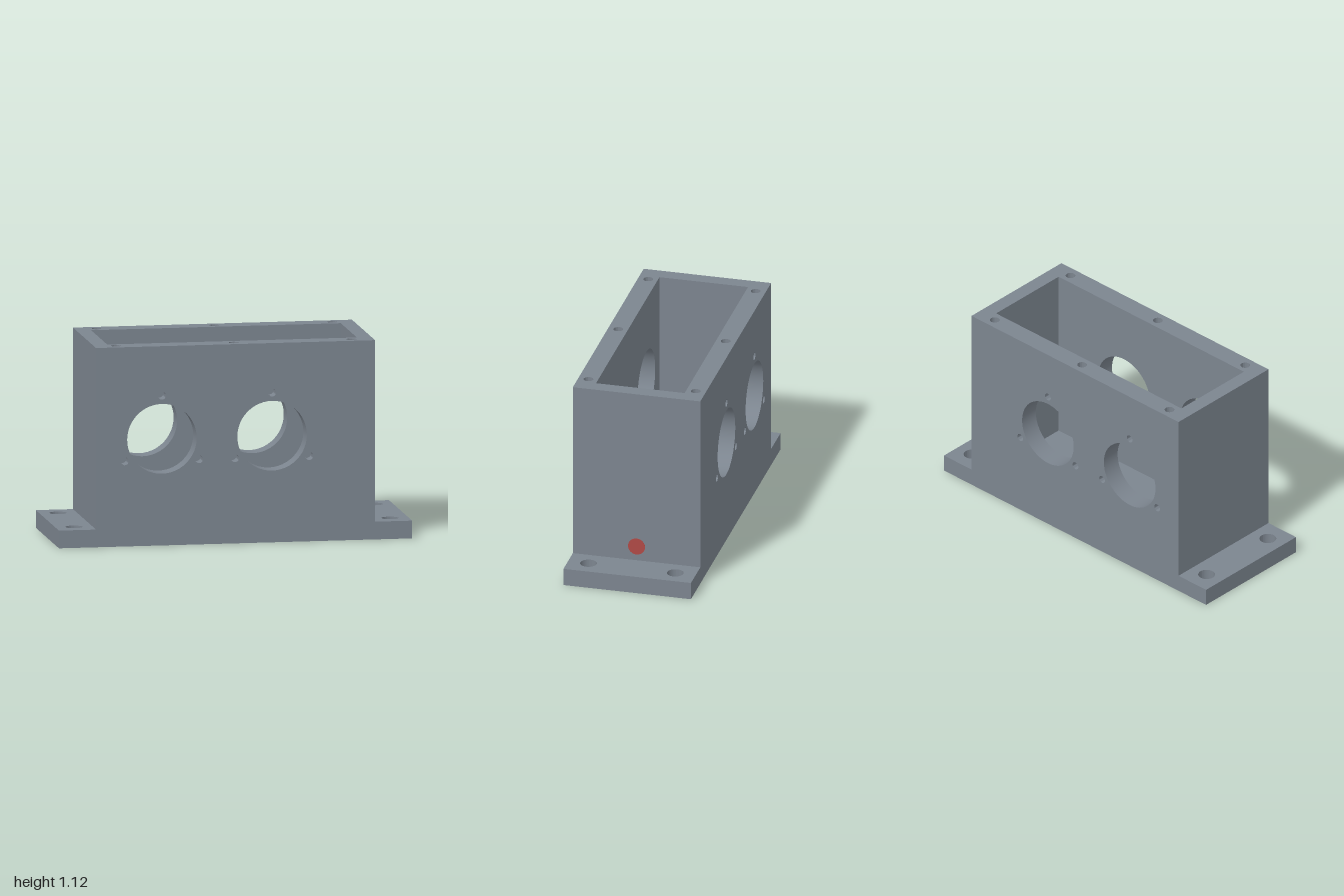
import * as THREE from 'three';
import { toCreasedNormals } from 'three/addons/utils/BufferGeometryUtils.js';

const L = 1, W = 0.79, D = 0.367;      // half sizes: flange length, housing width, depth
const H = 1.125, F = 0.1;              // housing height, flange and floor thickness
const CX = 0.707, CZ = 0.255;          // cavity half sizes
const HALF = Math.PI / 2;

export function createModel() {
  const model = new THREE.Group();
  const metal = new THREE.MeshStandardMaterial({ color: 0x7c858f });
  metal.name = 'slate grey metal';
  const red = new THREE.MeshStandardMaterial({ color: 0xb04a46 });
  red.name = 'red';

  const add = (name, geometry, material = metal) => {
    const mesh = new THREE.Mesh(geometry, material);
    mesh.name = name;
    model.add(mesh);
    return mesh;
  };

  const rect = (x0, x1, y0, y1) =>
    [[x0, y0], [x1, y0], [x1, y1], [x0, y1]].map(([x, y]) => new THREE.Vector2(x, y));

  // Flat face with round holes [x, y, r] and optional rectangular openings
  const face = (name, outline, rotation, position, holes = [], openings = []) => {
    const shape = new THREE.Shape(outline);
    for (const [x, y, r] of holes) shape.holes.push(new THREE.Path().absarc(x, y, r, 0, Math.PI * 2, true));
    for (const o of openings) shape.holes.push(new THREE.Path(o));
    const mesh = add(name, new THREE.ShapeGeometry(shape, 24));
    mesh.rotation.set(...rotation);
    mesh.position.set(...position);
  };

  // Inward-facing drilled wall going down its local y, with a floor if blind
  const bore = (name, r, depth, blind, position, rx = 0) => {
    const pts = [new THREE.Vector2(r, 0), new THREE.Vector2(r, -depth)];
    if (blind) pts.push(new THREE.Vector2(0, -depth));
    const mesh = add(name, toCreasedNormals(new THREE.LatheGeometry(pts, 48), 0.6));
    mesh.position.set(...position);
    mesh.rotation.x = rx;
  };

  // Port openings with three fixing holes around each
  const ports = [-0.417, 0.207].map(x => [x, 0.602, 0.197]);
  const fixings = ports.flatMap(([x, y]) => [90, 210, 330].map(a => {
    const t = THREE.MathUtils.degToRad(a);
    return [x + 0.243 * Math.cos(t), y + 0.243 * Math.sin(t), 0.022];
  }));
  const mirror = list => list.map(([x, y, r]) => [-x, y, r]);

  // Front and back: stepped outer faces and inner cavity faces
  const step = [[-L, 0], [L, 0], [L, F], [W, F], [W, H], [-W, H], [-W, F], [-L, F]]
    .map(([x, y]) => new THREE.Vector2(x, y));
  const inner = rect(-CX, CX, F, H);
  const outerHoles = [...ports, ...fixings];
  face('frontFace', step, [0, 0, 0], [0, 0, D], outerHoles);
  face('backFace', step, [0, Math.PI, 0], [0, 0, -D], mirror(outerHoles));
  face('cavityFront', inner, [0, Math.PI, 0], [0, 0, CZ], mirror(ports));
  face('cavityBack', inner, [0, 0, 0], [0, 0, -CZ], ports);
  for (const s of [1, -1]) {
    for (const [x, y, r] of ports) bore('portBore', r, D - CZ, false, [x, y, s * D], s * HALF);
    for (const [x, y, r] of fixings) bore('portFixingHole', r, 0.08, true, [x, y, s * D], s * HALF);
  }

  // Ends: housing sides, flange ends, cavity ends and flange tops
  const boltHoles = [];
  for (const s of [1, -1]) {
    const turn = [0, s * HALF, 0];
    face('housingSide', rect(-D, D, F, H), turn, [s * W, 0, 0]);
    face('flangeEnd', rect(-D, D, 0, F), turn, [s * L, 0, 0]);
    face('cavityEnd', rect(-CZ, CZ, F, H), [0, -s * HALF, 0], [s * CX, 0, 0]);

    const bolts = [[s * 0.895, 0.25, 0.047], [s * 0.895, -0.25, 0.047]];
    boltHoles.push(...bolts);
    face('flangeTop', rect(Math.min(s * W, s * L), Math.max(s * W, s * L), -D, D),
      [-HALF, 0, 0], [0, F, 0], bolts);
    for (const [x, z, r] of bolts) bore('flangeBoltHole', r, F, false, [x, F, z]);
  }

  // Underside and cavity floor
  face('underside', rect(-L, L, -D, D), [HALF, 0, 0], [0, 0, 0], boltHoles);
  face('cavityFloor', rect(-CX, CX, -CZ, CZ), [-HALF, 0, 0], [0, F, 0]);

  // Top rim with cover screw holes
  const rimHoles = [-0.667, 0, 0.667].flatMap(x => [[x, 0.309, 0.027], [x, -0.309, 0.027]]);
  face('topRim', rect(-W, W, -D, D), [-HALF, 0, 0], [0, H, 0], rimHoles, [rect(-CX, CX, -CZ, CZ)]);
  for (const [x, z, r] of rimHoles) bore('coverScrewHole', r, 0.15, true, [x, H, z]);

  // Red plug through the right-hand end wall
  const plug = add('sidePlug', new THREE.CylinderGeometry(0.049, 0.049, W - CX + 0.004, 40), red);
  plug.rotation.z = HALF;
  plug.position.set((W + CX) / 2, 0.185, 0);

  return model;
}
